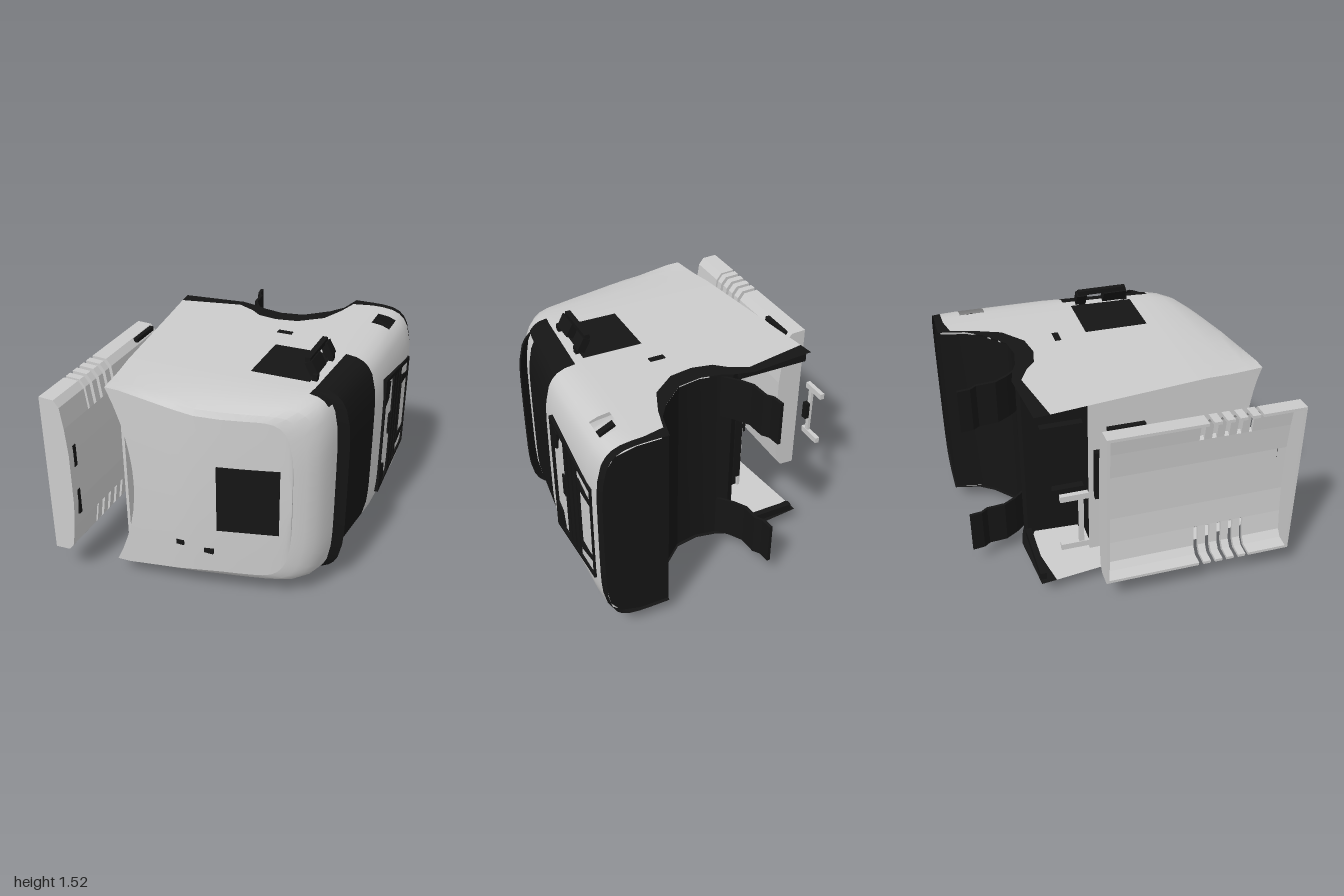
import * as THREE from 'three';
import { toCreasedNormals } from 'three/addons/utils/BufferGeometryUtils.js';

const CY = 0.75; // mirror plane of the cab
const grey = new THREE.MeshStandardMaterial({ color: 0xcccccc, side: THREE.DoubleSide });
const dark = new THREE.MeshStandardMaterial({ color: 0x151515, side: THREE.DoubleSide });

// piecewise linear lookup through [x, value] pairs
function lerpTable(t, x) {
  if (x <= t[0][0]) return t[0][1];
  for (let i = 1; i < t.length; i++)
    if (x <= t[i][0]) return t[i - 1][1] + (t[i][1] - t[i - 1][1]) * (x - t[i - 1][0]) / (t[i][0] - t[i - 1][0]);
  return t[t.length - 1][1];
}

// surface from a grid of [x,y,z] points, keeping the cells that pass the test
function gridGeo(rows, keep = () => true) {
  const p = [];
  for (let j = 0; j + 1 < rows.length; j++)
    for (let i = 0; i + 1 < rows[j].length; i++) {
      if (!keep(j, i)) continue;
      const a = rows[j][i], b = rows[j][i + 1], c = rows[j + 1][i + 1], d = rows[j + 1][i];
      p.push(...a, ...b, ...c, ...a, ...c, ...d);
    }
  const g = new THREE.BufferGeometry();
  g.setAttribute('position', new THREE.Float32BufferAttribute(p, 3));
  return toCreasedNormals(g, 0.5);
}

// lower edge of the skin along the side with the wheel arch, and the height of its dark trim
const BOTTOM = [[-0.68, -0.61], [-0.27, -0.65], [-0.15, -0.62], [-0.08, -0.59], [0.05, -0.565], [0.2, -0.59], [0.35, -0.72], [0.42, -0.82], [0.46, -0.99], [0.9, -0.99]];
const TRIM = [[-0.68, 0.1], [-0.27, 0.06], [-0.15, 0.09], [-0.08, 0.12], [0.2, 0.12], [0.35, 0.13], [0.42, 0.06], [0.46, 0.08], [0.6, 0.05]];
const SIDE_X = [-0.43, -0.27, -0.15, -0.08, 0.05, 0.2, 0.35, 0.42, 0.46, 0.5];
const ANGLES = [0.03, 0.12, 0.3, 0.5, 0.7, 0.9, 1.2, 1.35, 1.45, 1.56, Math.PI / 2];
const FRONT = [[-0.99, 0.87], [-0.9, 0.895], [-0.2, 0.885], [-0.1, 0.87], [0.42, 0.81], [0.5, 0.79]];
const roofZ = x => 0.87 - 0.17 * Math.max(0, x) - 0.12 * Math.max(0, x) ** 2;

// half outline of the cab at one height: rear edge, side, rounded corner, nose;
// xs is where the corner starts, e its squareness, and the sides flare to a wide rear edge
function halfRing(xf, w, zNom, zOf, xs = 0.5, e = 0.4) {
  const xb = -0.52 - 0.117 * (0.87 - zNom);
  const pts = [xb, ...SIDE_X].map(x => {
    const flare = Math.max(0, 0.628 - w) * THREE.MathUtils.clamp((0.1 - x) / 0.55, 0, 1);
    return [x > 0.2 ? 0.2 + (x - 0.2) * (xs - 0.2) / 0.3 : x, w + flare];
  });
  for (const a of ANGLES)
    pts.push([xs + (xf - xs) * Math.sin(a) ** e, w * Math.max(0, Math.cos(a)) ** e]);
  return pts.map(([x, y]) => [x, CY + y, zOf(x)]);
}
const mirrorPt = p => [p[0], 2 * CY - p[1], p[2]];
const fullRing = half => [...half, ...half.slice(0, -1).reverse().map(mirrorPt)];

export function createModel() {
  const model = new THREE.Group();
  const add = (name, geo, mat) => {
    const m = new THREE.Mesh(geo, mat);
    m.name = name;
    model.add(m);
    return m;
  };
  // box given by its limits
  const box = (name, x0, x1, y0, y1, z0, z1, mat) => {
    const m = add(name, new THREE.BoxGeometry(x1 - x0, y1 - y0, z1 - z0), mat);
    m.position.set((x0 + x1) / 2, (y0 + y1) / 2, (z0 + z1) / 2);
    return m;
  };

  // cab skin rows, from the sill up to the roof edge
  const rows = [];
  for (const f of [-1, 0, 0.15, 0.35, 0.6, 0.85, 1]) {
    const z = x => {
      const b = lerpTable(BOTTOM, x);
      if (f < 0) return b;
      const s = b + lerpTable(TRIM, x);
      return s + (-0.1 - s) * f;
    };
    rows.push(halfRing(lerpTable(FRONT, z(0.9)), 0.64, z(-0.6), z));
  }
  for (const zz of [-0.06, 0.15, 0.36, 0.42, 0.5]) rows.push(halfRing(lerpTable(FRONT, zz), 0.64, zz, () => zz));
  for (const [f, xf, w, xs, e] of [[0.4, 0.775, 0.63, 0.48, 0.42], [0.75, 0.74, 0.61, 0.45, 0.46], [0.93, 0.69, 0.58, 0.41, 0.5], [1, 0.62, 0.545, 0.37, 0.52]])
    rows.push(halfRing(xf, w, 0.5 + 0.37 * f, x => 0.5 + (roofZ(x) - 0.5) * f, xs, e));
  const skin = rows.map(fullRing);
  const half = rows[0].length;
  const fold = i => (i < half - 1 ? i : 2 * (half - 1) - 1 - i); // column counted from either rear edge
  const isLamp = (j, i) => j === 2 && fold(i) >= 12 && fold(i) < 14; // open headlamp recess
  const isDark = (j, i) => {
    const c = fold(i);
    if (j === 0) return true;                               // sill and bumper edge
    if (j >= 7 && j < 9 && c >= 6 && c < 11) return true;   // side windows
    if (j >= 6 && j < 9 && c >= 12) return true;            // windscreen
    return (j === 9 || j === 10) && c >= 12 && c < 15;      // visor corners
  };
  add('cabSkin', gridGeo(skin, (j, i) => !isDark(j, i) && !isLamp(j, i)), grey);
  add('windowsAndSills', gridGeo(skin, isDark), dark);

  // roof, with the hollow rear edge
  const edge = rows[rows.length - 1];
  const roof = edge.map(([x, y, z]) => {
    const line = [];
    for (let k = 0; k <= 12; k++) {
      const t = 1 - k / 6;
      const rear = THREE.MathUtils.clamp((0.1 - x) / 0.62, 0, 1);
      line.push([x + 0.16 * rear * (1 - t * t), CY + t * (y - CY), z + 0.01 * (1 - t * t)]);
    }
    return line;
  });
  add('roof', gridGeo(roof), grey);
  const hatch = add('roofHatch', new THREE.BoxGeometry(0.38, 0.45, 0.02), dark);
  hatch.position.set(0.365, 0.755, 0.798);
  hatch.rotation.y = 0.25;
  box('roofLamp', -0.08, -0.03, 0.38, 0.41, 0.86, 0.885, dark);
  box('roofLamp', 0.1, 0.16, 0.35, 0.38, 0.835, 0.865, dark);

  // sun visor lip above the windscreen
  const visor = [[0.8, 0.46], [0.865, 0.42], [0.86, 0.405]].map(([xf, z]) => fullRing(halfRing(xf, 0.645, z, () => z)));
  add('sunVisor', gridGeo(visor, (j, i) => fold(i) >= 12), dark);

  // dark underside: engine recess, wheel arch and front bottom, narrowing with the nose
  const path = [[-0.46, -0.22], [-0.21, -0.22], [-0.19, -0.6], ...BOTTOM.slice(2, -1), [0.65, -0.99], [0.78, -0.985], [0.84, -0.985], [0.865, -0.985]];
  const floorHalf = x => 0.625 * (1 - (Math.max(0, x - 0.5) / 0.37) ** 5) ** 0.2;
  add('underside', gridGeo([-1, 0, 1].map(s => path.map(([x, z]) => [x, CY + s * floorHalf(x), z + 0.01]))), dark);
  for (const s of [-1, 1]) {
    box('recessPost', -0.3, -0.25, CY + s * 0.25 - 0.03, CY + s * 0.25 + 0.03, -0.5, -0.22, dark);
    box('sillFlange', -0.66, -0.2, CY + s * 0.61 - 0.025, CY + s * 0.61 + 0.025, -0.61, -0.57, dark);
  }
  box('recessBeam', -0.3, -0.25, 0.5, 1.0, -0.5, -0.44, dark);

  // mudguards
  const guard = [[-0.08, -0.58], [-0.15, -0.66], [-0.2, -0.74], [-0.21, -0.86], [-0.24, -0.9], [-0.25, -0.98]];
  const guardOutline = [...guard, ...guard.map(([x, z]) => [x - 0.02, z]).reverse()];
  const guardShape = new THREE.Shape(guardOutline.map(([x, z]) => new THREE.Vector2(x, -z)));
  for (const y of [0.13, 1.08]) {
    const g = new THREE.ExtrudeGeometry(guardShape, { depth: 0.29, bevelEnabled: false });
    g.rotateX(-Math.PI / 2);
    add('mudguard', g, dark).position.y = y;
  }

  // rear wall with its lower mount
  box('rearWall', -0.47, -0.45, 0.13, 1.37, -0.23, 0.8, grey);
  box('rearMount', -0.51, -0.47, 0.57, 0.93, -0.2, -0.1, dark);

  // front grille: shapes drawn in (y, z) and pushed out along x
  const toFront = new THREE.Matrix4().makeBasis(new THREE.Vector3(0, 1, 0), new THREE.Vector3(0, 0, 1), new THREE.Vector3(1, 0, 0));
  const poly = pts => pts.map(([y, z]) => new THREE.Vector2(y, z));
  const plate = (name, outer, holes) => {
    const s = new THREE.Shape(poly(outer));
    for (const h of holes) s.holes.push(new THREE.Path(poly(h)));
    const g = new THREE.ExtrudeGeometry(s, { depth: 0.03, bevelEnabled: false }).applyMatrix4(toFront);
    add(name, g, dark).position.x = 0.87;
  };
  plate('grilleFrame', [[0.32, -0.25], [1.18, -0.25], [1.08, -0.88], [0.4, -0.88]],
    [[[0.35, -0.275], [0.425, -0.865], [1.055, -0.865], [1.15, -0.275]]]);
  for (const [z, hw] of [[-0.49, 0.37], [-0.56, 0.36], [-0.635, 0.34]])
    box('grilleSlat', 0.87, 0.9, CY - hw, CY + hw, z - 0.025, z + 0.025, dark);
  plate('lowerGrilleFrame', [[0.48, -0.68], [1.02, -0.68], [0.97, -0.88], [0.53, -0.88]],
    [[[0.55, -0.7], [0.55, -0.865], [0.95, -0.865], [0.95, -0.7]]]);
  box('grillePad', 0.87, 0.898, 0.7, 0.85, -0.45, -0.41, dark);
  for (const s of [-1, 1]) {
    plate('grilleWing', [[CY + s * 0.41, -0.27], [CY + s * 0.22, -0.27], [CY + s * 0.25, -0.35], [CY + s * 0.37, -0.37]], []);
    // bar across the headlamp recess
    const b = box('headlampBar', 0.67, 0.81, CY + s * 0.59 - 0.01, CY + s * 0.59 + 0.01, -0.75, -0.71, dark);
    b.rotation.z = -s * 0.45;
    box('doorHandle', 0.14, 0.24, CY + s * 0.64 - 0.005, CY + s * 0.64 + 0.005, -0.28, -0.24, dark);
  }

  // door mirrors on both sides
  const mirrorHead = (x, y, z0, z1, w, tilt) => {
    const m = add('mirrorHead', new THREE.BoxGeometry(0.05, w, z1 - z0), dark);
    m.position.set(x, y, (z0 + z1) / 2);
    m.rotation.z = tilt;
  };
  mirrorHead(0.57, 1.455, 0.16, 0.32, 0.09, 0.5);
  mirrorHead(0.57, 1.455, -0.03, 0.04, 0.09, 0.5);
  box('mirrorArm', 0.525, 0.56, 1.49, 1.52, -0.02, 0.31, dark);
  mirrorHead(0.53, 0.05, 0.14, 0.33, 0.085, -0.6);
  mirrorHead(0.53, 0.05, -0.03, 0.08, 0.07, -0.6);
  for (const z of [0, 0.3]) {
    box('mirrorFoot', 0.585, 0.615, 1.37, 1.43, z, z + 0.04, dark);
    box('mirrorFoot', 0.555, 0.59, 0.07, 0.13, z, z + 0.04, dark);
  }

  // separate rear tray: bowed face with a rim, open to the back
  const outer = [[-0.9, 0.55], [-0.8, 0.545], [-0.765, 0.5], [-0.745, 0.36], [-0.73, 0.18]];
  const bow = (pts, inset) => pts.map(([x, y]) => [x - (x > -0.85 ? inset : 0), y - inset]);
  const both = pts => [...pts, ...[...pts].reverse().map(([x, y]) => [x, -y])];
  const trayPart = (name, pts, z0, z1) => {
    const s = new THREE.Shape(pts.map(([x, y]) => new THREE.Vector2(x, y + CY)));
    add(name, new THREE.ExtrudeGeometry(s, { depth: z1 - z0, bevelEnabled: false }), grey).position.z = z0;
  };
  const wall = [...both(outer), ...both(bow(outer, 0.02)).reverse()];
  const middle = [...both(outer.slice(3)), ...both(bow(outer.slice(3), 0.02)).reverse()];
  trayPart('trayEnd', both(outer), -0.24, -0.22);
  trayPart('trayEnd', both(outer), 0.98, 1);
  trayPart('trayWall', wall, -0.22, 0.38);
  trayPart('trayWall', wall, 0.72, 0.98);
  trayPart('trayMiddle', middle, 0.38, 0.72);
  for (const z of [0.41, 0.49, 0.57, 0.65]) trayPart('trayRib', wall, z, z + 0.05);
  for (const [y0, y1] of [[0.47, 0.65], [0.82, 0.97]]) box('trayLamp', -0.75, -0.728, y0, y1, 0.92, 0.95, dark);
  box('trayLatch', -0.79, -0.76, 1.27, 1.298, -0.2, 0.03, dark);

  // bracket below the tray
  for (const y of [0.58, 0.94]) box('bracketBar', -0.905, -0.875, y - 0.02, y + 0.02, -0.52, -0.35, grey);
  box('bracketPlate', -0.9, -0.88, 0.56, 0.96, -0.41, -0.38, grey);
  box('bracketBlock', -0.89, -0.85, 0.7, 0.82, -0.41, -0.37, dark);

  return model;
}
